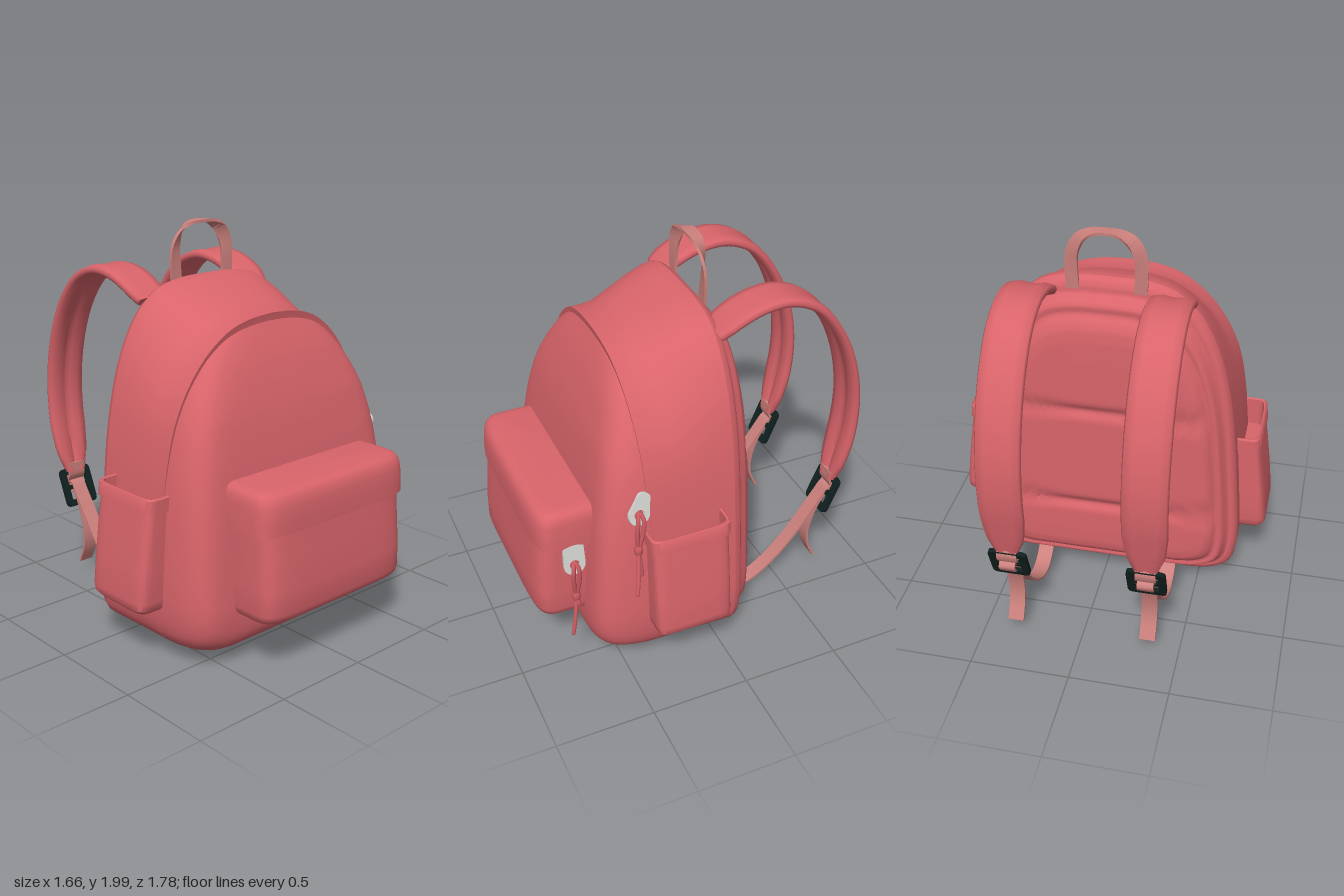
import * as THREE from 'three';
import { toCreasedNormals } from 'three/addons/utils/BufferGeometryUtils.js';

const V = (x, y, z) => new THREE.Vector3(x, y, z);
const paint = (name, color) => {
  const m = new THREE.MeshStandardMaterial({ color });
  m.name = name;
  return m;
};

// Linear lookup in a table of [x, value], x ascending
function lut(table, x) {
  if (x <= table[0][0]) return table[0][1];
  for (let i = 1; i < table.length; i++) {
    const [a, va] = table[i - 1], [b, vb] = table[i];
    if (x <= b) return va + (vb - va) * (x - a) / (b - a);
  }
  return table[table.length - 1][1];
}

// Closed skin through rings of equal length, capped at both ends, facing outward
function loft(rings, crease = 0.7) {
  const n = rings[0].length, pts = rings.flat(), idx = [];
  for (let i = 0; i < rings.length - 1; i++) for (let j = 0; j < n; j++) {
    const a = i * n + j, b = i * n + (j + 1) % n;
    idx.push(a, b, b + n, a, b + n, a + n);
  }
  [0, rings.length - 1].forEach((r, end) => {
    const mid = rings[r].reduce((s, p) => s.add(p), V(0, 0, 0)).divideScalar(n);
    const c = pts.push(mid) - 1;
    for (let j = 0; j < n; j++) {
      const a = r * n + j, b = r * n + (j + 1) % n;
      if (end) idx.push(a, b, c); else idx.push(b, a, c);
    }
  });
  let volume = 0;
  for (let i = 0; i < idx.length; i += 3)
    volume += pts[idx[i]].dot(V(0, 0, 0).crossVectors(pts[idx[i + 1]], pts[idx[i + 2]]));
  if (volume < 0) idx.reverse();
  const g = new THREE.BufferGeometry().setFromPoints(pts);
  g.setIndex(idx);
  return toCreasedNormals(g, crease);
}

// Strip with a given cross-section swept along a path
function ribbon(points, section, widthAt, thick, sideAt = () => V(1, 0, 0), steps = 40, crease = 0.7) {
  const curve = new THREE.CatmullRomCurve3(points), rings = [];
  for (let i = 0; i <= steps; i++) {
    const t = i / steps, p = curve.getPoint(t), T = curve.getTangent(t);
    const side = sideAt(t);
    side.addScaledVector(T, -side.dot(T)).normalize();
    const nrm = T.clone().cross(side);
    rings.push(section.map(([u, v]) => p.clone()
      .addScaledVector(side, u * widthAt(t) / 2).addScaledVector(nrm, v * thick / 2)));
  }
  return loft(rings, crease);
}
const FLAT = [[-1, -1], [1, -1], [1, 1], [-1, 1]];
const LOBES = [[-1, 0], [-0.92, 0.7], [-0.55, 1], [-0.18, 0.7], [0, 0.3], [0.18, 0.7], [0.55, 1], [0.92, 0.7],
  [1, 0], [0.92, -0.7], [0.55, -1], [0, -0.7], [-0.55, -1], [-0.92, -0.7]];

// Horizontal rounded-rectangle ring
function section(x0, x1, z0, z1, y, e = 6, n = 56) {
  return Array.from({ length: n }, (_, i) => {
    const a = i / n * Math.PI * 2, c = Math.cos(a), s = Math.sin(a);
    const f = (v) => Math.sign(v) * Math.abs(v) ** (2 / e);
    return V((x0 + x1) / 2 + f(c) * (x1 - x0) / 2, y, (z0 + z1) / 2 + f(s) * (z1 - z0) / 2);
  });
}

// Arched outlines of the bag: at the back and at the front opening
function outline(half) {
  const pts = new THREE.CatmullRomCurve3(half.map(([x, y]) => V(x, y, 0))).getPoints((half.length - 1) * 3);
  return [...pts, ...pts.slice(1, -1).reverse().map((p) => V(-p.x, p.y, 0))];
}
const BACK = outline([[0, .04], [.3, .04], [.55, .05], [.66, .11], [.695, .25], [.685, .5], [.66, .8],
  [.635, 1.03], [.6, 1.22], [.54, 1.42], [.44, 1.6], [.32, 1.7], [.17, 1.735], [0, 1.74]]);
const FRONT = outline([[0, .04], [.3, .04], [.55, .05], [.66, .12], [.695, .25], [.69, .5], [.665, .8],
  [.64, 1.0], [.6, 1.17], [.53, 1.32], [.42, 1.46], [.28, 1.56], [.14, 1.6], [0, 1.61]]);
const inset = (p, s) => V(p.x * s, 0.7 + (p.y - 0.7) * s, 0);
const seamZ = (y) => 0.34 + 0.03 * y;

function shellGeometry() {
  const blend = [[0, 0], [.1, .05], [.3, .3], [.5, .62], [.7, .93], [.85, 1], [1, 1]];
  const rings = [];
  for (let i = 0; i <= 20; i++) {
    const t = i / 20;
    rings.push(BACK.map((b, j) => {
      const p = b.clone().lerp(FRONT[j], lut(blend, t));
      p.z = THREE.MathUtils.lerp(-0.08, seamZ(p.y), t);
      return p;
    }));
  }
  rings.push(FRONT.map((f) => inset(f, 0.95).setZ(seamZ(f.y) - 0.008)));
  return loft(rings);
}

function frontGeometry() {
  const zf = [[.05, .645], [.3, .647], [.6, .622], [.8, .6], [1, .57], [1.2, .53], [1.4, .465], [1.55, .405], [1.62, .39]];
  const steps = [1, .999, .995, .988, .978, .965, .95, .93, .905, .875, .84, .8, .74, .66, .56, .45, .34, .22, .1, .02];
  return loft(steps.map((s) => FRONT.map((f) => {
    const lip = 1 - 0.018 * THREE.MathUtils.smoothstep(f.y, 0.7, 1.2);
    const p = inset(f, s * lip), base = seamZ(p.y) - 0.03;
    p.z = base + (lut(zf, p.y) - base) * (1 - s ** 14) ** (1 / 2.2);
    return p;
  })));
}

// Padded back: piping ridges, then cushions split by two stitched grooves
function backGeometry() {
  const depth = [[0, -.235], [.6, -.235], [.72, -.232], [.78, -.224], [.82, -.205], [.845, -.178], [.86, -.18],
    [.885, -.184], [.91, -.16], [.93, -.122], [.95, -.126], [.985, -.112], [1, -.08]];
  const rings = [];
  for (let s = 1; s > 0.01; s -= 0.0125) rings.push(BACK.map((b) => {
    const p = inset(b, s);
    const groove = [0.48, 1.05].reduce((g, y) => g + Math.exp(-(((p.y - y) / 0.03) ** 2)), 0);
    p.z = lut(depth, s) + 0.022 * groove * THREE.MathUtils.smoothstep(0.86 - s, 0, 0.06);
    return p;
  }));
  return loft(rings, 0.9);
}

// Drop-shaped zip tab with a hole, lying in the zy plane
function tabGeometry(top) {
  const s = new THREE.Shape();
  s.moveTo(-top, .1).lineTo(-.055, 0);
  s.absarc(0, 0, .055, Math.PI, Math.PI * 2, false);
  s.lineTo(top, .1);
  s.quadraticCurveTo(0, .125, -top, .1);
  s.holes.push(new THREE.Path().absarc(0, 0, .026, 0, Math.PI * 2, true));
  return new THREE.ExtrudeGeometry(s, { depth: .016, bevelEnabled: false, curveSegments: 16 }).rotateY(-Math.PI / 2);
}

function buckleGeometry() {
  const rect = (P, x0, y0, x1, y1, r) => new P().moveTo(x0 + r, y0).lineTo(x1 - r, y0).quadraticCurveTo(x1, y0, x1, y0 + r)
    .lineTo(x1, y1 - r).quadraticCurveTo(x1, y1, x1 - r, y1).lineTo(x0 + r, y1).quadraticCurveTo(x0, y1, x0, y1 - r)
    .lineTo(x0, y0 + r).quadraticCurveTo(x0, y0, x0 + r, y0);
  const s = rect(THREE.Shape, -.095, -.105, .095, .105, .03);
  s.holes.push(rect(THREE.Path, -.06, .012, .06, .07, .01), rect(THREE.Path, -.06, -.07, .06, -.012, .01));
  return new THREE.ExtrudeGeometry(s, { depth: .022, bevelEnabled: false }).translate(0, 0, -.011);
}

export function createModel() {
  const root = new THREE.Group();
  root.name = 'backpack';
  const fabric = paint('redFabric', 0xd8646a), webbing = paint('dustyRedWebbing', 0xcb807c);
  const cordRed = paint('cordRed', 0xc9595f), metal = paint('paleMetal', 0xd6d6d2), plastic = paint('blackPlastic', 0x10201f);
  const add = (name, geo, mat, parent = root) => {
    const m = new THREE.Mesh(geo, mat);
    m.name = name;
    parent.add(m);
    return m;
  };

  add('mainShell', shellGeometry(), fabric);
  add('frontPanel', frontGeometry(), fabric);
  add('paddedBack', backGeometry(), fabric);

  // Front pocket: rows of y, half width, front z
  const stack = (rows, z0) => loft(rows.map(([y, w, z]) => section(-w, w, z0, z, y)));
  add('frontPocket', stack([[.28, .42, .82], [.285, .45, .855], [.3, .465, .875], [.33, .472, .885], [.45, .472, .884],
    [.6, .468, .872], [.75, .465, .86]], .5), fabric);
  add('frontPocketFlap', stack([[.72, .46, .855], [.72, .492, .868], [.78, .49, .868], [.85, .485, .864], [.885, .48, .855],
    [.908, .467, .84], [.918, .45, .815], [.922, .42, .79]], .5), fabric);

  for (const side of [1, -1]) {
    const label = side > 0 ? 'left' : 'right';
    // Open side pocket with a hemmed rim: rows of y, outer x, end margin
    const pocket = [[.28, .78, .04], [.285, .81, .02], [.305, .828, .005], [.34, .83, 0], [.5, .812, 0], [.65, .792, 0],
      [.78, .772, .002], [.78, .782, -.008], [.845, .775, -.008], [.853, .768, 0], [.848, .758, .01], [.7, .758, .012]];
    add(label + 'SidePocket', loft(pocket.map(([y, x, m]) =>
      section(side * .6, side * x, m - .005, .39 - m, y, 6))), fabric);

    // Shoulder strap, adjuster and lower webbing
    const strap = new THREE.Group();
    strap.name = label + 'ShoulderStrap';
    strap.position.x = side * .34;
    root.add(strap);
    const path = (list) => list.map(([z, y]) => V(0, y, z));
    const wide = [[0, .17], [.07, .21], [.15, .22], [.85, .22], [.93, .19], [1, .11]];
    add('paddedStrap', ribbon(path([[-.1, 1.64], [-.17, 1.69], [-.3, 1.745], [-.45, 1.755], [-.6, 1.69], [-.73, 1.54],
      [-.82, 1.34], [-.865, 1.12], [-.865, .92], [-.835, .74], [-.8, .58]]), LOBES, (t) => lut(wide, t), .05, undefined, 48, 1),
    fabric, strap);
    add('lowerWebbing', ribbon(path([[-.1, .1], [-.15, .05], [-.23, .012], [-.33, .025], [-.46, .11], [-.58, .235],
      [-.68, .37], [-.75, .47], [-.795, .525], [-.825, .5], [-.8, .46]]), FLAT, () => .08, .012), webbing, strap);
    add('webbingTail', ribbon(path([[-.79, .5], [-.75, .46], [-.7, .35], [-.68, .24], [-.69, .16], [-.73, .07]]),
      FLAT, () => .08, .012), webbing, strap);
    add('upperLoop', ribbon(path([[-.8, .63], [-.825, .57], [-.81, .53], [-.79, .56], [-.79, .63]]),
      FLAT, () => .1, .012), webbing, strap);
    const buckle = add('buckle', buckleGeometry(), plastic, strap);
    buckle.position.set(0, .495, -.78);
    buckle.rotation.x = -.4;
  }

  // Carry handle: flat to the front at its ends, turned upward at the top
  const loop = [[-.165, 1.68], [-.17, 1.8], [-.163, 1.88], [-.125, 1.95], [-.065, 1.985], [0, 1.992],
    [.065, 1.985], [.125, 1.95], [.163, 1.88], [.17, 1.8], [.165, 1.68]];
  add('carryHandle', ribbon(loop.map(([x, y], i) => V(x, y, -.12 - .012 * Math.sin(i / 10 * Math.PI))), FLAT, () => .064, .014, (t) => {
    const a = Math.PI * THREE.MathUtils.smoothstep(t, 0, 1);
    return V(Math.cos(a), 0, -Math.sin(a));
  }), webbing);

  // Zip pulls: tab plus a knotted cord with two tails
  const pull = (name, tabTop, pos, rot, knot, tails) => {
    const g = new THREE.Group();
    g.name = name;
    root.add(g);
    const tab = add('tab', tabGeometry(tabTop), metal, g);
    tab.position.copy(pos);
    tab.rotation.set(rot[0], 0, rot[1]);
    const cord = (...p) => add('cord', new THREE.TubeGeometry(new THREE.CatmullRomCurve3(p), 20, .011, 8), cordRed, g);
    for (const d of [-.014, .014]) {
      const mid = pos.clone().lerp(knot, .5).add(V(.014, 0, d));
      cord(pos.clone().add(V(-.015, .012, 0)), pos.clone().add(V(.016, -.02, d)), mid, knot);
    }
    add('knot', new THREE.SphereGeometry(.022, 12, 8).scale(1, 1.5, 1), cordRed, g).position.copy(knot);
    for (const end of tails) {
      cord(knot, knot.clone().lerp(end, .5).add(V(.008, -.01, 0)), end);
      add('cordTip', new THREE.SphereGeometry(.011, 8, 6), cordRed, g).position.copy(end);
    }
  };
  pull('mainZipPull', .03, V(.662, .955, .42), [-.38, .22], V(.69, .77, .44), [V(.78, .585, .485), V(.715, .64, .435)]);
  pull('pocketZipPull', .052, V(.505, .62, .695), [0, .12], V(.515, .43, .7), [V(.56, .235, .74), V(.53, .38, .69)]);
  return root;
}
